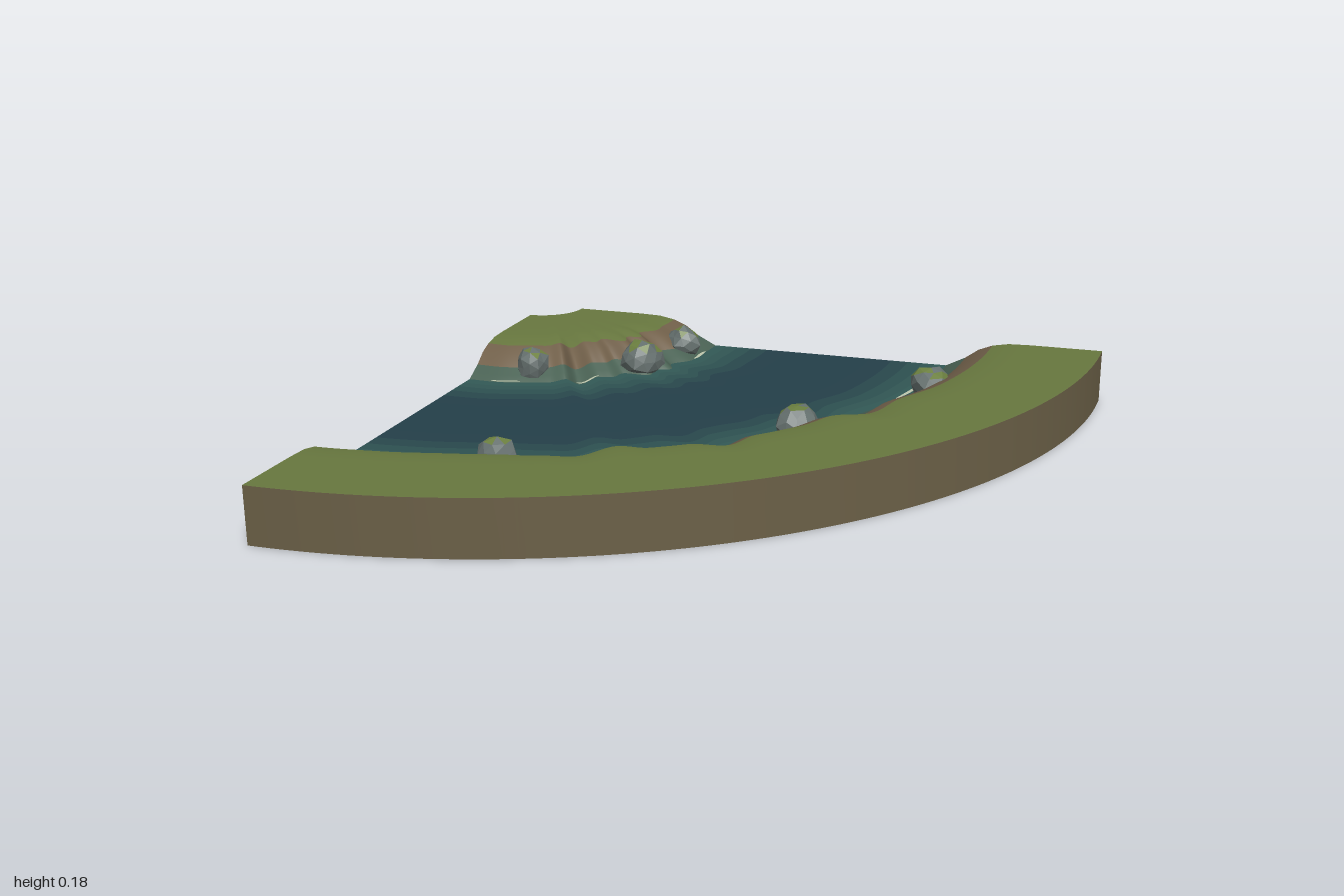
import * as THREE from 'three';

const TOP = 0.17, WATER = 0.075, INNER = 0.14, OUTER = 2;

// Shorelines as [angle in degrees, radius] around the bend centre at (-1, -1)
const OUTER_SHORE = [[0, 1.48], [9, 1.48], [18, 1.48], [25, 1.465], [31, 1.5], [35, 1.445], [40, 1.47],
  [45, 1.475], [49, 1.525], [52.5, 1.475], [56.5, 1.473], [59.5, 1.435], [64, 1.503], [67.5, 1.484],
  [72, 1.468], [77, 1.465], [83, 1.472], [90, 1.48]];
const INNER_SHORE = [[0, 0.65], [10, 0.65], [18, 0.665], [25, 0.64], [29, 0.685], [33, 0.655], [37, 0.695],
  [43, 0.63], [47, 0.655], [51, 0.635], [58, 0.7], [61, 0.63], [66, 0.66], [72, 0.655], [80, 0.66], [90, 0.65]];

// Eased interpolation along a shoreline
function radiusAt(shore, deg) {
  let i = 0;
  while (i < shore.length - 2 && deg > shore[i + 1][0]) i++;
  const [a0, r0] = shore[i], [a1, r1] = shore[i + 1];
  return THREE.MathUtils.lerp(r0, r1, THREE.MathUtils.smoothstep(deg, a0, a1));
}
const outerShore = (deg) => radiusAt(OUTER_SHORE, deg);
const innerShore = (deg) => radiusAt(INNER_SHORE, deg);

// Sweeps a profile around the bend; each rail maps an angle to [radius, height]
function sweep(name, color, rails, from = 0, to = 90) {
  const n = Math.max(8, Math.round((to - from) * 1.6)), m = rails.length;
  const pos = [], index = [];
  for (let j = 0; j <= n; j++) {
    const deg = from + (to - from) * j / n, t = THREE.MathUtils.degToRad(deg);
    for (const rail of rails) {
      const [r, y] = rail(deg);
      pos.push(-1 + r * Math.cos(t), y, -1 + r * Math.sin(t));
    }
  }
  for (let j = 0; j < n; j++) {
    for (let i = 0; i < m - 1; i++) {
      const a = j * m + i, b = a + m;
      index.push(a, b, a + 1, b, b + 1, a + 1);
    }
  }
  const geo = new THREE.BufferGeometry();
  geo.setAttribute('position', new THREE.Float32BufferAttribute(pos, 3));
  geo.setIndex(index);
  geo.computeVertexNormals();
  const mesh = new THREE.Mesh(geo, new THREE.MeshStandardMaterial({ color, side: THREE.DoubleSide }));
  mesh.name = name;
  return mesh;
}

// One bank: wet foot, earth slope, turf and a vertical rim wall
function bank(name, shore, sign, rim) {
  const g = new THREE.Group();
  g.name = name;
  const off = (d, y) => (deg) => [shore(deg) + sign * d, y];
  const blend = (k, y) => (deg) => [THREE.MathUtils.lerp(shore(deg) + sign * 0.155, rim, k), y];
  const edge = (y) => () => [rim, y];
  const add = (part, color, rails) => g.add(sweep(part, color, sign > 0 ? rails : rails.reverse()));
  add('wetBank', 0x4a6254, [off(-0.025, 0.055), off(0, WATER), off(0.03, 0.09), off(0.065, 0.108)]);
  add('earthSlope', 0x71604a, [off(0.065, 0.108), off(0.11, 0.14), off(0.155, 0.158)]);
  add('grass', 0x68783f, [off(0.155, 0.158), blend(0.15, 0.168), blend(0.35, TOP), edge(TOP)]);
  add('rimWall', 0x6b6047, [edge(TOP), edge(0)]);
  return g;
}

// Faceted boulder, split into bare stone and a mossy cap
function boulder(x, z, size, seed) {
  const g = new THREE.Group();
  g.name = 'boulder';
  const p = new THREE.IcosahedronGeometry(1, 1).getAttribute('position');
  const v = new THREE.Vector3(), corners = [];
  for (let i = 0; i < p.count; i++) {
    v.fromBufferAttribute(p, i);
    const wave = Math.sin(v.x * 5.1 + seed * 2.3) + Math.sin(v.y * 4.3 + seed * 1.7) + Math.sin(v.z * 6.2 + seed);
    corners.push(v.clone().multiplyScalar(1 + 0.06 * wave));
  }
  const stone = [], moss = [], normal = new THREE.Vector3();
  for (let i = 0; i < corners.length; i += 3) {
    const tri = corners.slice(i, i + 3);
    new THREE.Triangle(...tri).getNormal(normal);
    const mossy = normal.y + 0.25 * Math.sin(i * 1.9 + seed) > 0.82;
    for (const c of tri) (mossy ? moss : stone).push(c.x, c.y, c.z);
  }
  for (const [part, data, color] of [['stone', stone, 0x66716f], ['moss', moss, 0x6c8040]]) {
    const geo = new THREE.BufferGeometry();
    geo.setAttribute('position', new THREE.Float32BufferAttribute(data, 3));
    geo.computeVertexNormals();
    const mesh = new THREE.Mesh(geo, new THREE.MeshStandardMaterial({ color, flatShading: true }));
    mesh.name = part;
    g.add(mesh);
  }
  g.scale.set(size, 0.06, size * 1.08);
  g.position.set(x, 0.116, z);
  g.rotation.y = seed * 1.3;
  return g;
}

export function createModel() {
  const model = new THREE.Group();
  model.name = 'riverBend';
  model.add(bank('outerBank', outerShore, 1, OUTER), bank('innerBank', innerShore, -1, INNER));

  // Water in bands, pale at the shores and dark mid-channel
  const shallow = new THREE.Color(0x335a56), deep = new THREE.Color(0x243f49);
  const cuts = [0, 0.05, 0.1, 0.16, 0.23, 0.32, 0.68, 0.77, 0.84, 0.9, 0.95, 1];
  const across = (k) => (deg) => [THREE.MathUtils.lerp(innerShore(deg), outerShore(deg), k), WATER];
  const water = new THREE.Group();
  water.name = 'water';
  for (let i = 0; i < cuts.length - 1; i++) {
    const mid = (cuts[i] + cuts[i + 1]) / 2;
    const depth = THREE.MathUtils.smoothstep(Math.min(mid, 1 - mid), 0, 0.3);
    water.add(sweep('waterBand', shallow.clone().lerp(deep, depth), [across(cuts[i]), across(cuts[i + 1])]));
  }
  model.add(water);

  // Broken foam lines along both shores, tapered at their ends
  const foam = (shore, sign, from, to) => {
    const half = (deg) => 0.007 * Math.sqrt(Math.max(0, Math.sin(Math.PI * (deg - from) / (to - from))));
    const rail = (s) => (deg) => [shore(deg) - sign * 0.006 + s * half(deg), WATER + 0.006];
    model.add(sweep('foam', 0xbfc8ae, [rail(-1), rail(1)], from, to));
  };
  for (const [a, b] of [[8, 18], [29, 35], [49, 59.5], [72, 83]]) foam(outerShore, 1, a, b);
  for (const [a, b] of [[9, 18], [51, 59], [74, 83]]) foam(innerShore, -1, a, b);

  // Boulders at the water's edge
  [[-0.42, -0.86, 0.056], [-0.49, -0.63, 0.068], [-0.81, -0.44, 0.056],
    [0.5, -0.63, 0.06], [0.2, -0.11, 0.064], [-0.52, 0.46, 0.06]]
    .forEach(([x, z, size], i) => model.add(boulder(x, z, size, i + 1)));
  return model;
}
